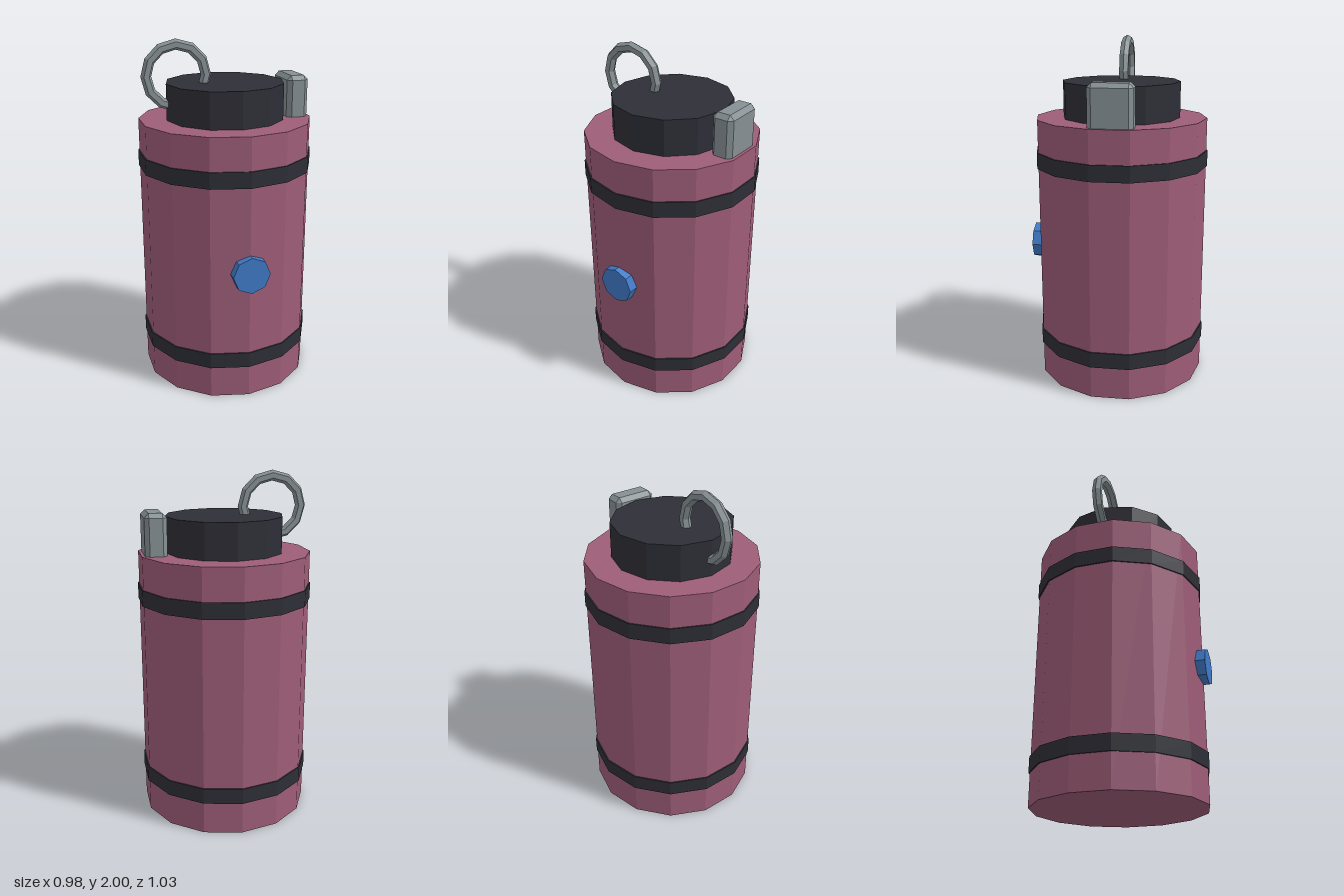
import * as THREE from 'three';
import { ConvexGeometry } from 'three/addons/geometries/ConvexGeometry.js';

const CZ = -0.0125; // axis of the canister

function material(name, color) {
  const m = new THREE.MeshStandardMaterial({ color, flatShading: true });
  m.name = name;
  return m;
}

// Box with one flat chamfer on every edge
function chamferBox(w, h, d, c) {
  const pts = [];
  for (const sx of [-1, 1]) for (const sy of [-1, 1]) for (const sz of [-1, 1]) {
    for (let axis = 0; axis < 3; axis++) {
      const inset = [c, c, c];
      inset[axis] = 0;
      pts.push(new THREE.Vector3(
        sx * (w / 2 - inset[0]), sy * (h / 2 - inset[1]), sz * (d / 2 - inset[2])));
    }
  }
  return new ConvexGeometry(pts);
}

export function createModel() {
  const group = new THREE.Group();
  group.name = 'canister';
  const maroon = material('maroon', 0x9e5d78);
  const black = material('black', 0x2e2f37);
  const steel = material('steel', 0x869094);
  const blue = material('blue', 0x407ac8);

  const add = (name, geometry, mat, x, y, z) => {
    const mesh = new THREE.Mesh(geometry, mat);
    mesh.name = name;
    mesh.position.set(x, y, z);
    group.add(mesh);
    return mesh;
  };

  // Main tank and its two straps
  add('body', new THREE.CylinderGeometry(0.495, 0.495, 1.55, 14), maroon, 0, 0.775, CZ);
  for (const [name, y] of [['lowerBand', 0.236], ['upperBand', 1.318]]) {
    add(name, new THREE.CylinderGeometry(0.5025, 0.5025, 0.092, 14), black, 0, y, CZ);
  }

  // Cap with pull ring
  add('cap', new THREE.CylinderGeometry(0.34, 0.34, 0.205, 12), black, 0, 1.6525, CZ);
  add('pullRing', new THREE.TorusGeometry(0.17, 0.03, 6, 12), steel, -0.28, 1.8, CZ);

  // Latch beside the cap, sunk slightly into the tank
  add('latch', chamferBox(0.125, 0.285, 0.247, 0.025), steel, 0.4025, 1.6425, CZ);

  // Front button
  const button = add('button', new THREE.CylinderGeometry(0.107, 0.107, 0.08, 8), blue, 0, 0.778, 0.475);
  button.rotation.x = Math.PI / 2;

  return group;
}
